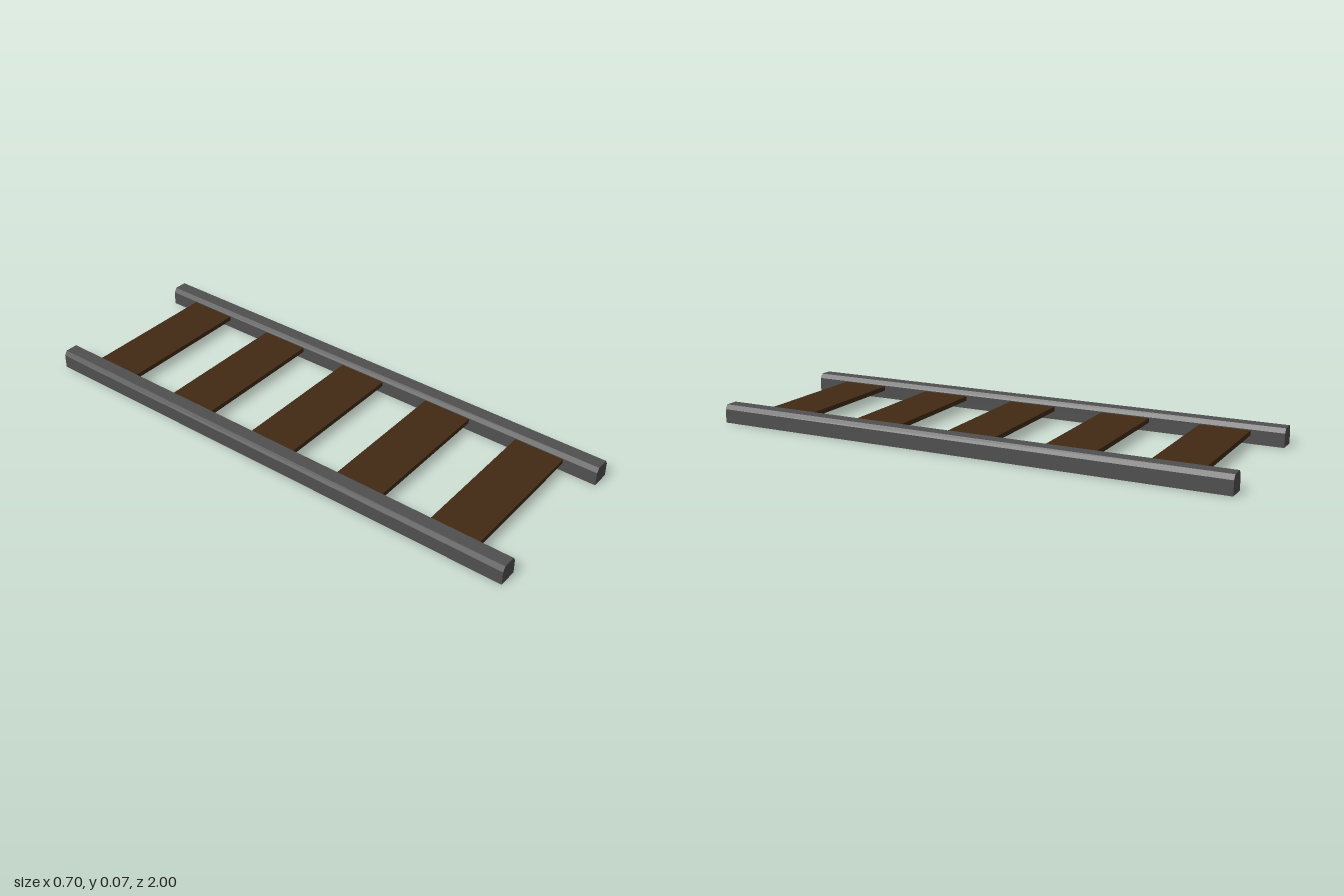
import * as THREE from 'three';

export function createModel() {
  const model = new THREE.Group();
  model.name = 'track';
  const metal = new THREE.MeshStandardMaterial({ color: 0x505050, flatShading: true });
  const wood = new THREE.MeshStandardMaterial({ color: 0x422a14, flatShading: true });

  // Rail cross-section with chamfered top edges, extruded along z
  const half = 0.036, topHalf = 0.025, shoulder = 0.053, height = 0.07, length = 2;
  const profile = new THREE.Shape([
    [-half, 0], [half, 0], [half, shoulder],
    [topHalf, height], [-topHalf, height], [-half, shoulder],
  ].map(([x, y]) => new THREE.Vector2(x, y)));
  const railGeometry = new THREE.ExtrudeGeometry(profile, { depth: length, bevelEnabled: false });
  railGeometry.translate(0, 0, -length / 2);
  const railX = 0.312;
  for (const side of [1, -1]) {
    const rail = new THREE.Mesh(railGeometry, metal);
    rail.name = side > 0 ? 'leftRail' : 'rightRail';
    rail.position.x = side * railX;
    model.add(rail);
  }

  // Evenly spaced planks that butt against the inner rail faces
  const plankGeometry = new THREE.BoxGeometry(2 * (railX - half), 0.018, 0.192);
  for (let i = 0; i < 5; i++) {
    const plank = new THREE.Mesh(plankGeometry, wood);
    plank.name = `plank${i + 1}`;
    plank.position.set(0, 0.041, -0.004 + (i - 2) * 0.388);
    model.add(plank);
  }
  return model;
}
